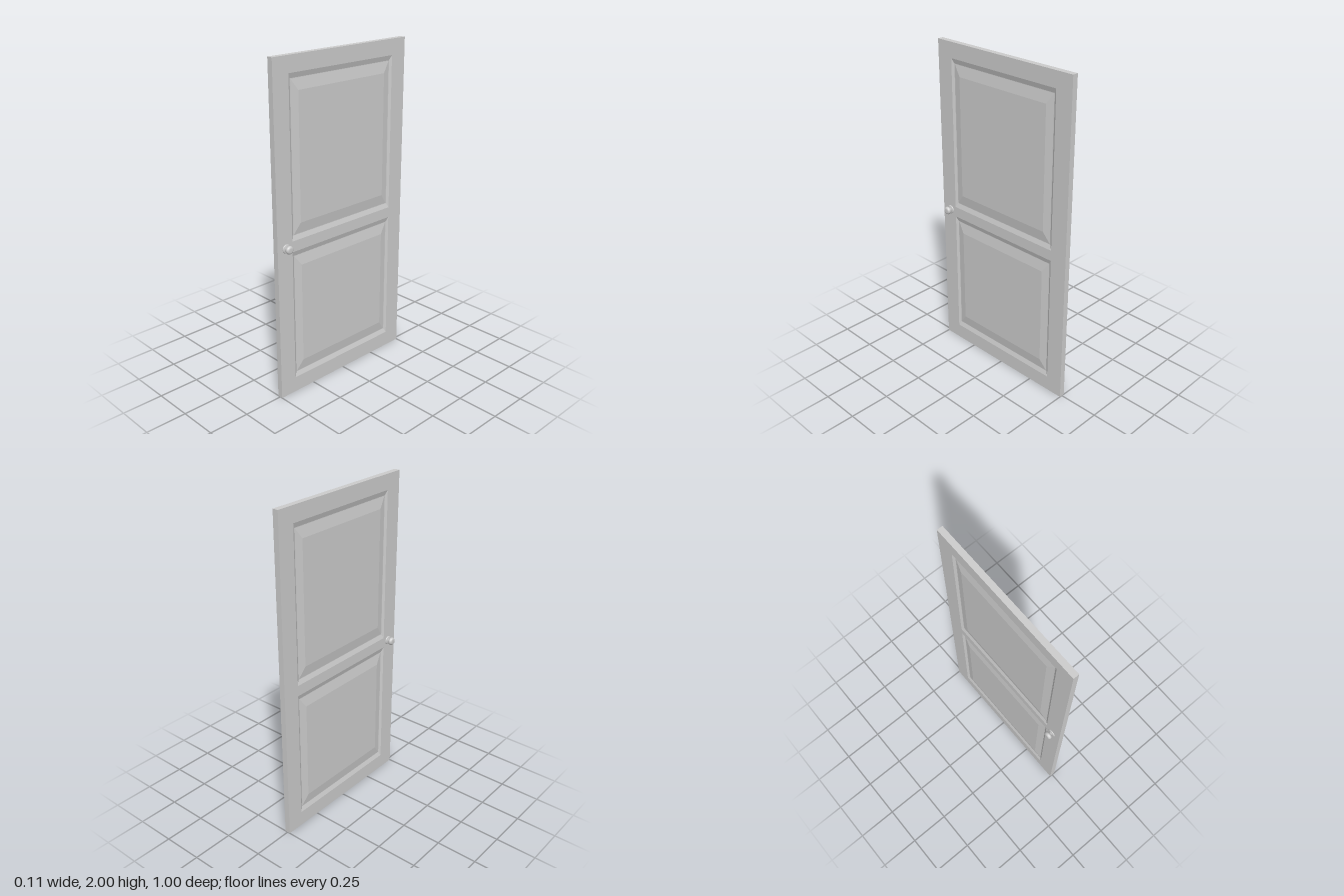
import * as THREE from 'three';

const HALF = 0.0175; // half the slab thickness

// Rectangular loops [halfWidth, bottom, top, x] joined by quads, outermost first; the last may be capped
function loftRects(loops, cap) {
  const pos = [];
  const rings = loops.map(([w, y0, y1, x]) => [[x, y0, w], [x, y0, -w], [x, y1, -w], [x, y1, w]]);
  const quad = (a, b, c, d) => pos.push(...a, ...b, ...c, ...a, ...c, ...d);
  for (let k = 0; k < rings.length - 1; k++) {
    const o = rings[k], n = rings[k + 1];
    for (let i = 0; i < 4; i++) quad(o[i], o[(i + 1) % 4], n[(i + 1) % 4], n[i]);
  }
  if (cap) quad(...rings[rings.length - 1]);
  const g = new THREE.BufferGeometry();
  g.setAttribute('position', new THREE.Float32BufferAttribute(pos, 3));
  g.computeVertexNormals();
  return g;
}

function rectPath(Type, w, y0, y1) {
  const p = new Type();
  p.moveTo(-w, y0).lineTo(w, y0).lineTo(w, y1).lineTo(-w, y1).closePath();
  return p;
}

export function createModel() {
  const grey = new THREE.MeshStandardMaterial({ color: 0xcccccc });
  grey.name = 'paintedGrey';
  const door = new THREE.Group();
  door.name = 'door';
  const add = (parent, name, geometry) => {
    const m = new THREE.Mesh(geometry, grey);
    m.name = name;
    parent.add(m);
    return m;
  };

  // Outer edges of the slab
  add(door, 'slabEdges', loftRects([[0.5, 0, 2, -HALF], [0.5, 0, 2, HALF]], false));

  // Panel openings: bottom and top
  const openings = { lowerPanel: [0.095, 0.905], upperPanel: [0.97, 1.906] };

  // Stiles and rails: a face with two openings
  const shape = rectPath(THREE.Shape, 0.5, 0, 2);
  for (const [y0, y1] of Object.values(openings)) shape.holes.push(rectPath(THREE.Path, 0.393, y0, y1));
  const face = new THREE.ShapeGeometry(shape).rotateY(Math.PI / 2).translate(HALF, 0, 0);

  // Knob with round backplate, turned about the x axis: [radius, distance from face]
  const profile = [
    [0.027, 0], [0.027, 0.003], [0.023, 0.006], [0.012, 0.007], [0.009, 0.010], [0.009, 0.013],
    [0.015, 0.0145], [0.021, 0.018], [0.0243, 0.024], [0.0245, 0.029], [0.022, 0.035],
    [0.017, 0.039], [0.012, 0.040], [0, 0.040],
  ].map(([r, h]) => new THREE.Vector2(r, h));
  const knob = new THREE.LatheGeometry(profile, 20).rotateZ(-Math.PI / 2);

  for (const side of [1, -1]) {
    const half = new THREE.Group();
    half.name = side > 0 ? 'leftFace' : 'rightFace';
    half.rotation.y = side > 0 ? 0 : Math.PI;
    add(half, 'stilesAndRails', face);
    // Sloped moulding, groove and raised field
    for (const [name, [y0, y1]] of Object.entries(openings)) {
      add(half, name, loftRects([
        [0.393, y0, y1, HALF],
        [0.378, y0 + 0.029, y1 - 0.029, HALF - 0.009],
        [0.374, y0 + 0.032, y1 - 0.032, HALF - 0.009],
        [0.328, y0 + 0.096, y1 - 0.096, HALF + 0.0003],
      ], true));
    }
    add(half, 'knob', knob).position.set(HALF, 0.94, 0.438 * side);
    door.add(half);
  }
  return door;
}
